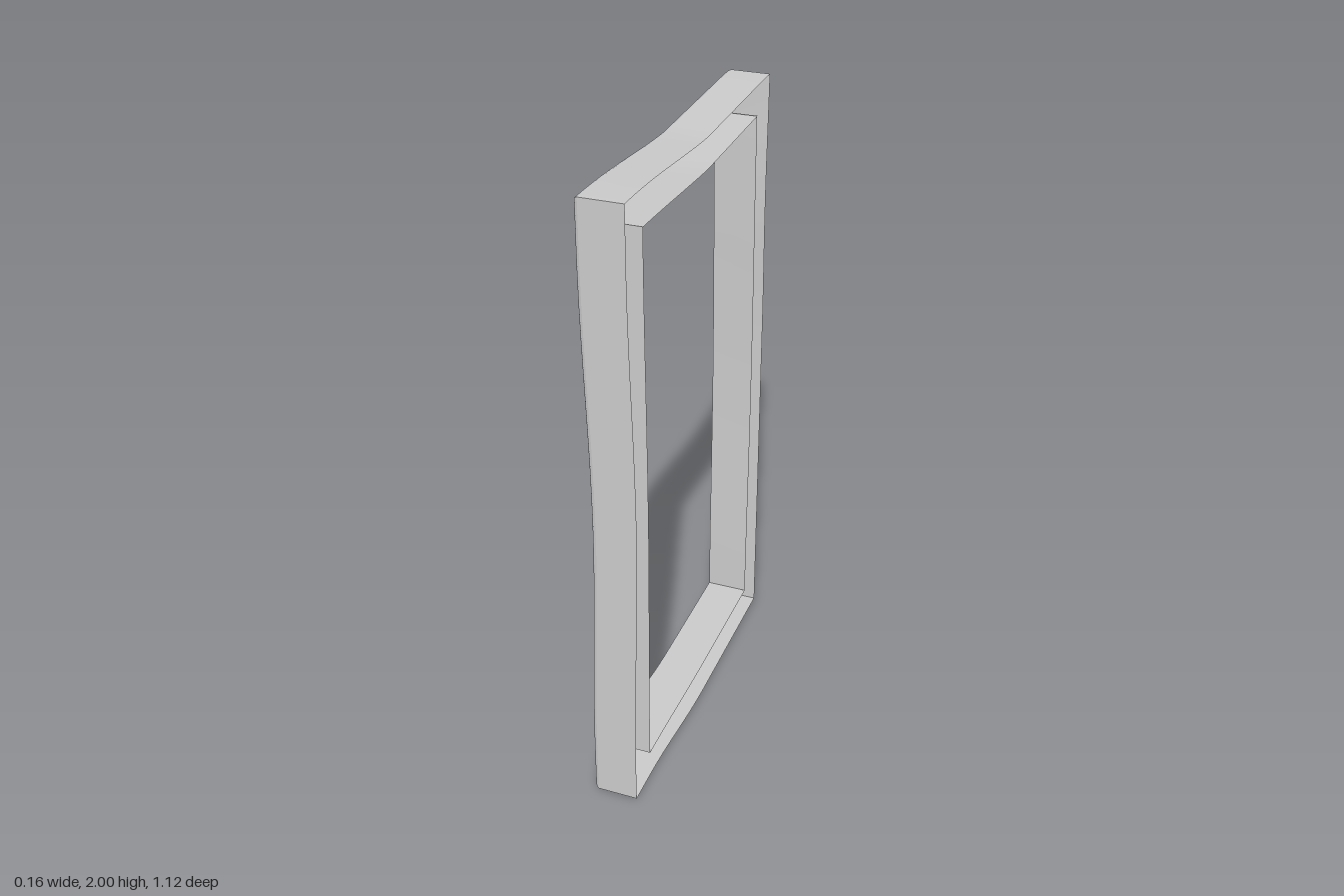
import * as THREE from 'three';

const material = new THREE.MeshStandardMaterial({ color: 0xcccccc, side: THREE.DoubleSide });
const STEPS = 20;

// Cosine hump: 1 in the middle, 0 at |t| >= 1
const hump = t => 0.5 + 0.5 * Math.cos(Math.PI * Math.min(1, Math.abs(t)));
const tent = t => Math.max(0, 1 - Math.abs(t));

// Sideways warp of the frame (0 to 1): strongest in mid-height and toward the back
function warp(y, z) {
  const alongZ = z <= 0 ? 1 : hump(z / 0.45);
  return 1 - (1 - alongZ) * (1 - hump((y - 1) / 0.85));
}

// Corners of the outer and inner outline as [z, y], counter-clockwise seen from +x
const outer = [[0.565, 0], [-0.56, 0], [-0.56, 2], [0.565, 2]];
const inner = [[0.475, 0.118], [-0.442, 0.118], [-0.442, 1.905], [0.475, 1.905]];

// Channel section from outer lip to inner lip: mix (0 outer, 1 inner) and x
const section = [
  { mix: 0, x: w => 0.06 + 0.016 * w },
  { mix: 0, x: w => -0.07 + 0.02 * w },
  { mix: 0.03, x: w => -0.077 + 0.019 * w },
  { mix: 0.08, x: w => -0.081 + 0.019 * w },
  { mix: 1, x: w => -0.08 + 0.019 * w },
  { mix: 1, x: w => 0.071 + 0.005 * w },
];

// Point on one side of the frame
function framePoint(side, t, { mix, x }) {
  const next = (side + 1) % 4;
  const at = (i, k) => THREE.MathUtils.lerp(outer[i][k], inner[i][k], mix);
  let z = THREE.MathUtils.lerp(at(side, 0), at(next, 0), t);
  let y = THREE.MathUtils.lerp(at(side, 1), at(next, 1), t);
  const w = warp(y, z);
  // sagging top rail and wavering back post
  if (side === 2) y -= 0.015 * tent(z / 0.5);
  if (side === 1) z += 0.009 * hump((y - 1.6) / 0.45) * (1 - mix) - 0.011 * mix * hump((y - 1) / 0.9);
  return [x(w), y, z];
}

// Smooth ribbon along one side between two section points
function ribbon(side, a, b) {
  const positions = [], indices = [];
  for (let i = 0; i <= STEPS; i++) {
    positions.push(...framePoint(side, i / STEPS, a), ...framePoint(side, i / STEPS, b));
    if (i < STEPS) {
      const k = i * 2;
      indices.push(k, k + 1, k + 2, k + 1, k + 3, k + 2);
    }
  }
  const geometry = new THREE.BufferGeometry();
  geometry.setAttribute('position', new THREE.Float32BufferAttribute(positions, 3));
  geometry.setIndex(indices);
  geometry.computeVertexNormals();
  return geometry;
}

export function createModel() {
  const model = new THREE.Group();
  model.name = 'warpedFrame';
  const sides = ['bottomRail', 'backPost', 'topRail', 'frontPost'];
  const faces = ['OuterWall', 'OuterBevel', 'InnerBevel', 'Face', 'InnerWall'];
  sides.forEach((name, side) => {
    const bar = new THREE.Group();
    bar.name = name;
    // Each bar is a channel, open toward +x
    faces.forEach((face, i) => {
      const mesh = new THREE.Mesh(ribbon(side, section[i], section[i + 1]), material);
      mesh.name = name + face;
      bar.add(mesh);
    });
    model.add(bar);
  });
  return model;
}
